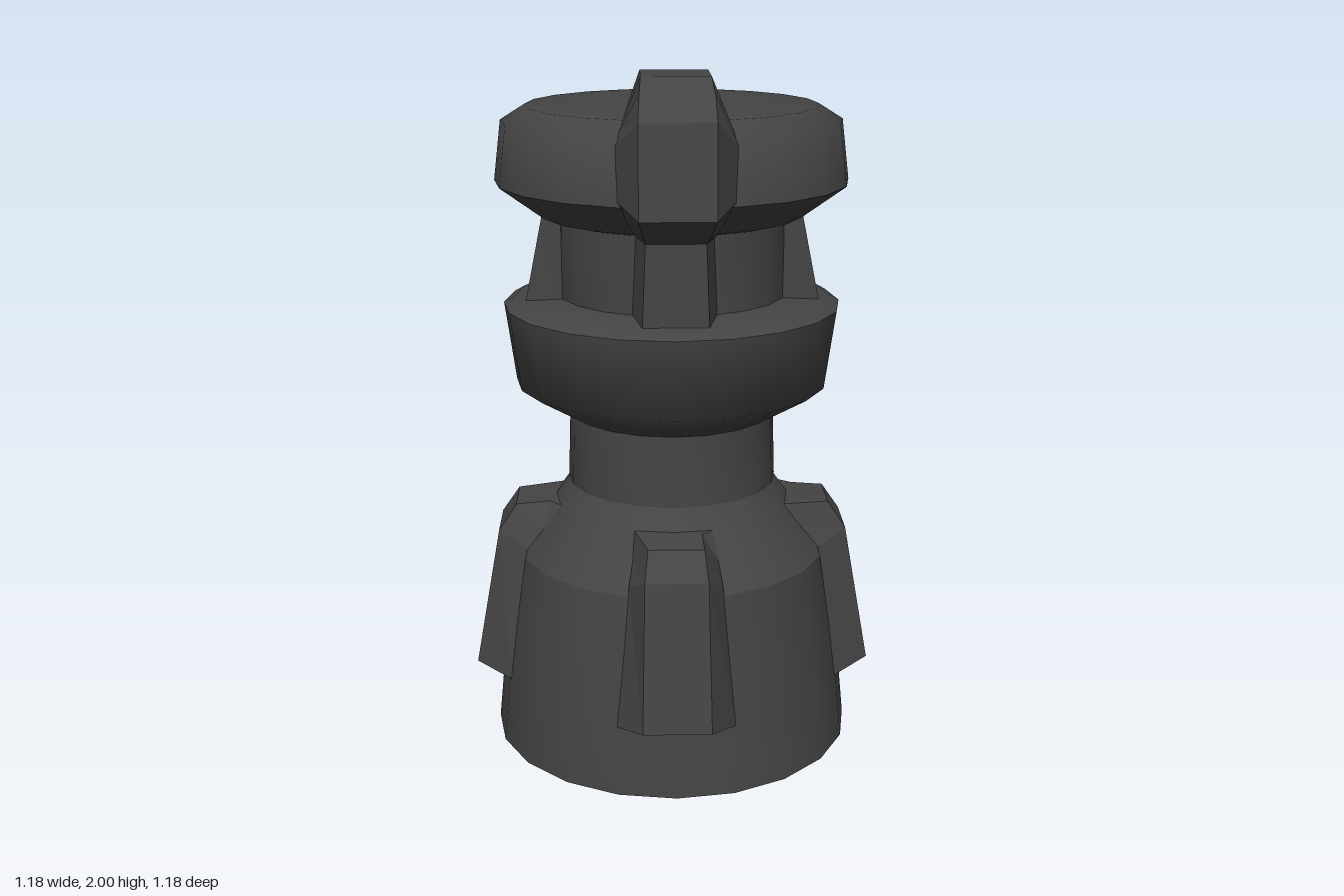
import * as THREE from 'three';
import { toCreasedNormals } from 'three/addons/utils/BufferGeometryUtils.js';

const charcoal = new THREE.MeshStandardMaterial({ color: 0x444444, side: THREE.DoubleSide });
charcoal.name = 'charcoal';

function part(name, geometry, crease) {
  const mesh = new THREE.Mesh(toCreasedNormals(geometry, crease), charcoal);
  mesh.name = name;
  return mesh;
}

// 20-sided turned part from [radius, y] pairs
function turned(name, profile, crease) {
  const points = profile.map(([r, y]) => new THREE.Vector2(r, y));
  return part(name, new THREE.LatheGeometry(points, 20), crease);
}

// Joins equal-length rings of [x, y, z] points; ends close as strips between opposite points
function loft(rings, capStart, capEnd) {
  const n = rings[0].length;
  const index = [];
  for (let r = 0; r < rings.length - 1; r++) {
    for (let i = 0; i < n; i++) {
      const a = r * n + i, b = r * n + (i + 1) % n;
      index.push(a, b, b + n, a, b + n, a + n);
    }
  }
  const cap = (o, flip) => {
    for (let i = 0; i < n / 2 - 1; i++) {
      const a = o + i, b = o + i + 1, c = o + n - 2 - i, d = o + n - 1 - i;
      index.push(...(flip ? [a, c, b, a, d, c] : [a, b, c, a, c, d]));
    }
  };
  if (capStart) cap(0, true);
  if (capEnd) cap((rings.length - 1) * n, false);
  const geometry = new THREE.BufferGeometry();
  geometry.setAttribute('position', new THREE.Float32BufferAttribute(rings.flat(2), 3));
  geometry.setIndex(index);
  return geometry;
}

// Bevelled rib facing +z; station = [outer z, outer y, outer half width, base z, base y, base half width]
function rib(name, stations, turn = 0) {
  const rings = stations.map(([zo, yo, wo, zi, yi, wi]) =>
    [[-wi, yi, zi], [wi, yi, zi], [wo, yo, zo], [-wo, yo, zo]]);
  const mesh = part(name, loft(rings, true, true), 0.1);
  mesh.rotation.y = turn;
  return mesh;
}

// Ring wrapped around the back of the core; ends narrow by "round"
function visorRing(radius, halfAngle, yLow, yHigh, round) {
  const us = [-1, -0.88, -0.6, -0.2, 0.2, 0.6, 0.88, 1];
  const at = (u, y, inset) => {
    const a = u * halfAngle;
    return [radius * Math.sin(a), y + (Math.abs(u) === 1 ? inset : 0), -radius * Math.cos(a)];
  };
  return [...us.map(u => at(u, yHigh, -round)), ...us.slice().reverse().map(u => at(u, yLow, round))];
}

export function createModel() {
  const model = new THREE.Group();
  model.name = 'turret';

  // Turned shells, from the open base up
  model.add(
    turned('base', [[0.535, 0], [0.515, 0.2], [0.457, 0.575], [0.302, 0.793]], 0.4),
    turned('neck', [[0.307, 0.79], [0.3, 1.0]], 0.4),
    turned('lowerCollar', [[0.296, 0.995], [0.375, 1.042], [0.455, 1.09], [0.487, 1.32],
      [0.455, 1.338], [0.33, 1.35]], 1.1),
    turned('core', [[0.33, 1.345], [0.33, 1.575]], 0.4),
    turned('topCap', [[0.33, 1.57], [0.378, 1.582], [0.505, 1.675], [0.484, 1.845],
      [0.415, 1.888], [0.3, 1.89], [0, 1.89]], 1.0),
  );

  // Four sloping buttresses around the base
  for (let i = 0; i < 4; i++) {
    model.add(rib('baseButtress', [
      [0.59, 0.228, 0.096, 0.485, 0.2, 0.168],
      [0.515, 0.645, 0.088, 0.43, 0.6, 0.132],
      [0.462, 0.724, 0.078, 0.38, 0.66, 0.12],
      [0.365, 0.732, 0.075, 0.32, 0.73, 0.116],
    ], i * Math.PI / 2));
  }

  // Struts between collar and cap
  for (const side of [-1, 1]) {
    model.add(rib('sideStrut', [
      [0.42, 1.335, 0.08, 0.3, 1.335, 0.108],
      [0.365, 1.605, 0.075, 0.29, 1.605, 0.1],
    ], side * Math.PI / 2));
  }
  model.add(rib('frontStrut', [
    [0.42, 1.335, 0.09, 0.3, 1.335, 0.118],
    [0.41, 1.6, 0.08, 0.29, 1.6, 0.11],
  ]));

  // Hook that wraps over the front of the cap
  model.add(rib('frontHook', [
    [0.41, 1.565, 0.08, 0.37, 1.575, 0.105],
    [0.48, 1.59, 0.085, 0.4, 1.595, 0.115],
    [0.588, 1.655, 0.1, 0.47, 1.69, 0.158],
    [0.562, 1.9, 0.1, 0.46, 1.83, 0.158],
    [0.505, 1.967, 0.096, 0.43, 1.86, 0.15],
    [0.395, 2.0, 0.092, 0.38, 1.875, 0.142],
    [0.205, 2.0, 0.092, 0.17, 1.885, 0.132],
  ]));

  // Curved visor at the back with a recessed slot
  model.add(part('visor', loft([
    visorRing(0.325, 1.08, 1.36, 1.585, 0.01),
    visorRing(0.47, 0.63, 1.345, 1.605, 0.02),
    visorRing(0.497, 0.6, 1.36, 1.58, 0.03),
    visorRing(0.497, 0.46, 1.4, 1.535, 0.04),
    visorRing(0.43, 0.44, 1.415, 1.52, 0.035),
  ], false, true), 0.35));

  return model;
}
